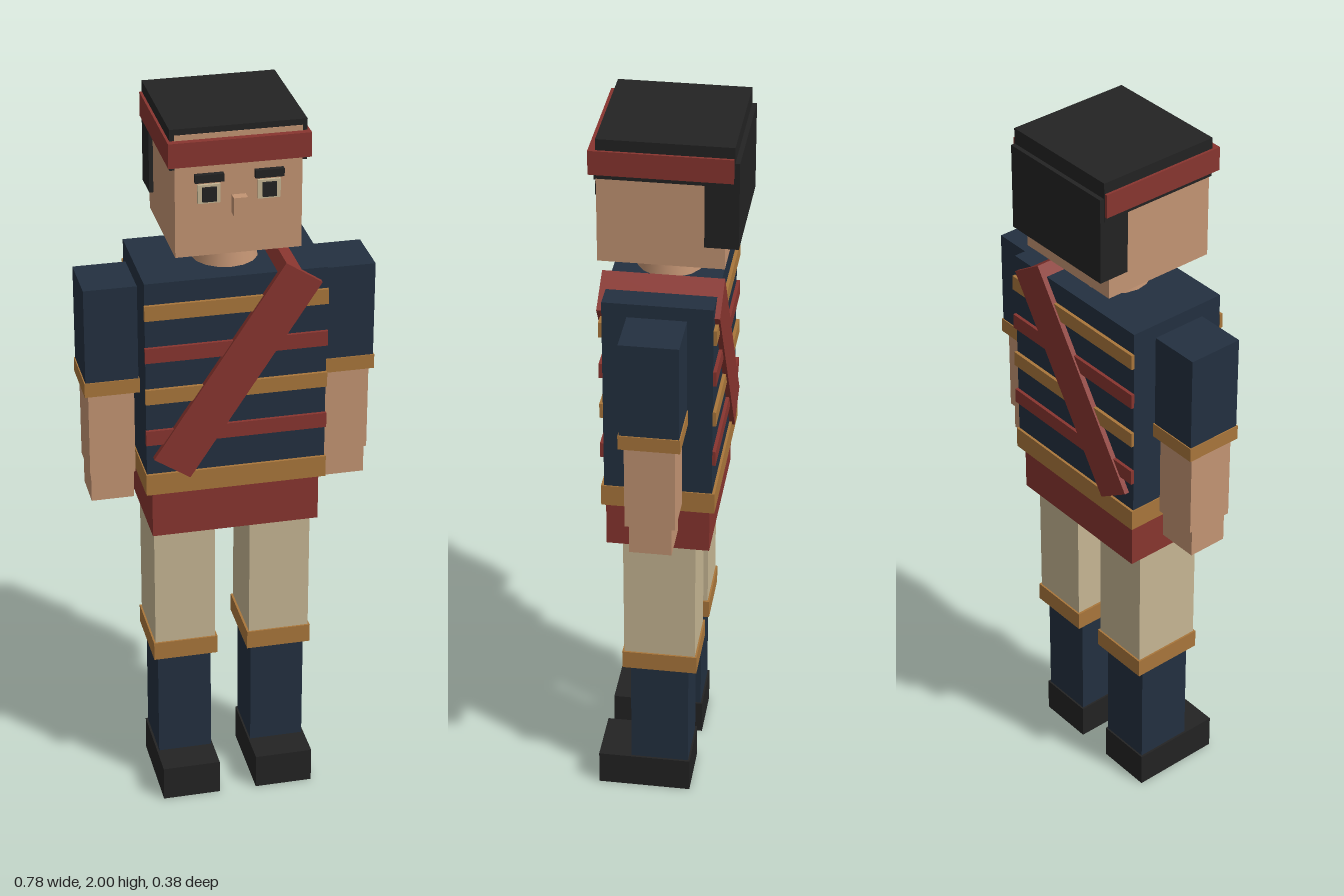
import * as THREE from 'three';

const mat = (name, color) => {
  const m = new THREE.MeshStandardMaterial({ color });
  m.name = name;
  return m;
};

export function createModel() {
  const navy = mat('navy cloth', 0x233040);
  const red = mat('red cloth', 0x88352f);
  const gold = mat('gold trim', 0xa9763b);
  const beige = mat('beige cloth', 0xc6b693);
  const skin = mat('skin', 0xc39473);
  const black = mat('black', 0x232323);

  const model = new THREE.Group();
  model.name = 'soldierFigure';

  // Box given by its extents on each axis
  const box = (name, material, [x0, x1], [y0, y1], [z0, z1], parent = model) => {
    const mesh = new THREE.Mesh(new THREE.BoxGeometry(x1 - x0, y1 - y0, z1 - z0), material);
    mesh.position.set((x0 + x1) / 2, (y0 + y1) / 2, (z0 + z1) / 2);
    mesh.name = name;
    parent.add(mesh);
    return mesh;
  };
  const wide = (w) => [-w, w];

  // Torso, belt and tunic skirt
  box('torso', navy, wide(0.24), [0.99, 1.58], [-0.14, 0.145]);
  box('belt', gold, wide(0.243), [0.97, 1.03], [-0.147, 0.153]);
  box('tunicSkirt', red, wide(0.226), [0.838, 0.97], [-0.132, 0.143]);

  // Chest and back stripes
  [[1.50, gold], [1.38, red], [1.26, gold], [1.14, red]].forEach(([y, material]) => {
    box('frontStripe', material, wide(0.242), [y - 0.021, y + 0.021], [0.145, 0.154]);
    box('backStripe', material, wide(0.242), [y - 0.021, y + 0.021], [-0.149, -0.14]);
  });

  // Sash running through the torso and over the left shoulder
  const sash = box('sash', red, wide(0.0575), [0.995, 1.63], [-0.154, 0.161]);
  sash.rotation.z = -0.583;

  // Arms and legs, mirrored by side
  for (const side of [1, -1]) {
    const label = side > 0 ? 'left' : 'right';
    const span = (a, b) => (side > 0 ? [a, b] : [-b, -a]);

    const arm = new THREE.Group();
    arm.name = label + 'Arm';
    box('sleeve', navy, span(0.246, 0.386), [1.26, 1.546], [-0.074, 0.08], arm);
    box('cuff', gold, span(0.243, 0.389), [1.242, 1.282], [-0.077, 0.083], arm);
    box('forearm', skin, span(0.256, 0.378), [1.0, 1.242], [-0.063, 0.069], arm);
    box('hand', skin, span(0.259, 0.374), [0.918, 1.0], [-0.053, 0.058], arm);
    model.add(arm);

    const leg = new THREE.Group();
    leg.name = label + 'Leg';
    box('thigh', beige, span(0.048, 0.215), [0.45, 0.838], [-0.094, 0.101], leg);
    box('kneeBand', gold, span(0.042, 0.22), [0.42, 0.473], [-0.099, 0.106], leg);
    box('shin', navy, span(0.057, 0.206), [0.1, 0.42], [-0.075, 0.085], leg);
    box('shoe', black, span(0.052, 0.212), [0, 0.1], [-0.08, 0.177], leg);
    model.add(leg);
  }

  // Neck
  const neck = new THREE.Mesh(new THREE.CylinderGeometry(0.075, 0.088, 0.09, 16), skin);
  neck.position.set(0, 1.62, 0.003);
  neck.name = 'neck';
  model.add(neck);

  // Head, hair and headband
  const head = new THREE.Group();
  head.name = 'head';
  box('face', skin, wide(0.163), [1.656, 1.984], [-0.157, 0.167], head);
  box('hairTop', black, wide(0.175), [1.892, 2], [-0.181, 0.165], head);
  box('hairBack', black, wide(0.174), [1.72, 1.957], [-0.193, -0.106], head);
  box('headband', red, wide(0.182), [1.905, 1.97], [-0.179, 0.184], head);
  box('nose', skin, wide(0.018), [1.766, 1.815], [0.165, 0.192], head);

  // Eyes and brows
  for (const side of [1, -1]) {
    const around = (w) => [side * 0.077 - w, side * 0.077 + w];
    box('eyeWhite', beige, around(0.029), [1.8, 1.85], [0.167, 0.174], head);
    box('pupil', black, around(0.018), [1.806, 1.844], [0.174, 0.181], head);
    box('brow', black, around(0.037), [1.858, 1.879], [0.166, 0.181], head);
  }
  model.add(head);

  return model;
}
